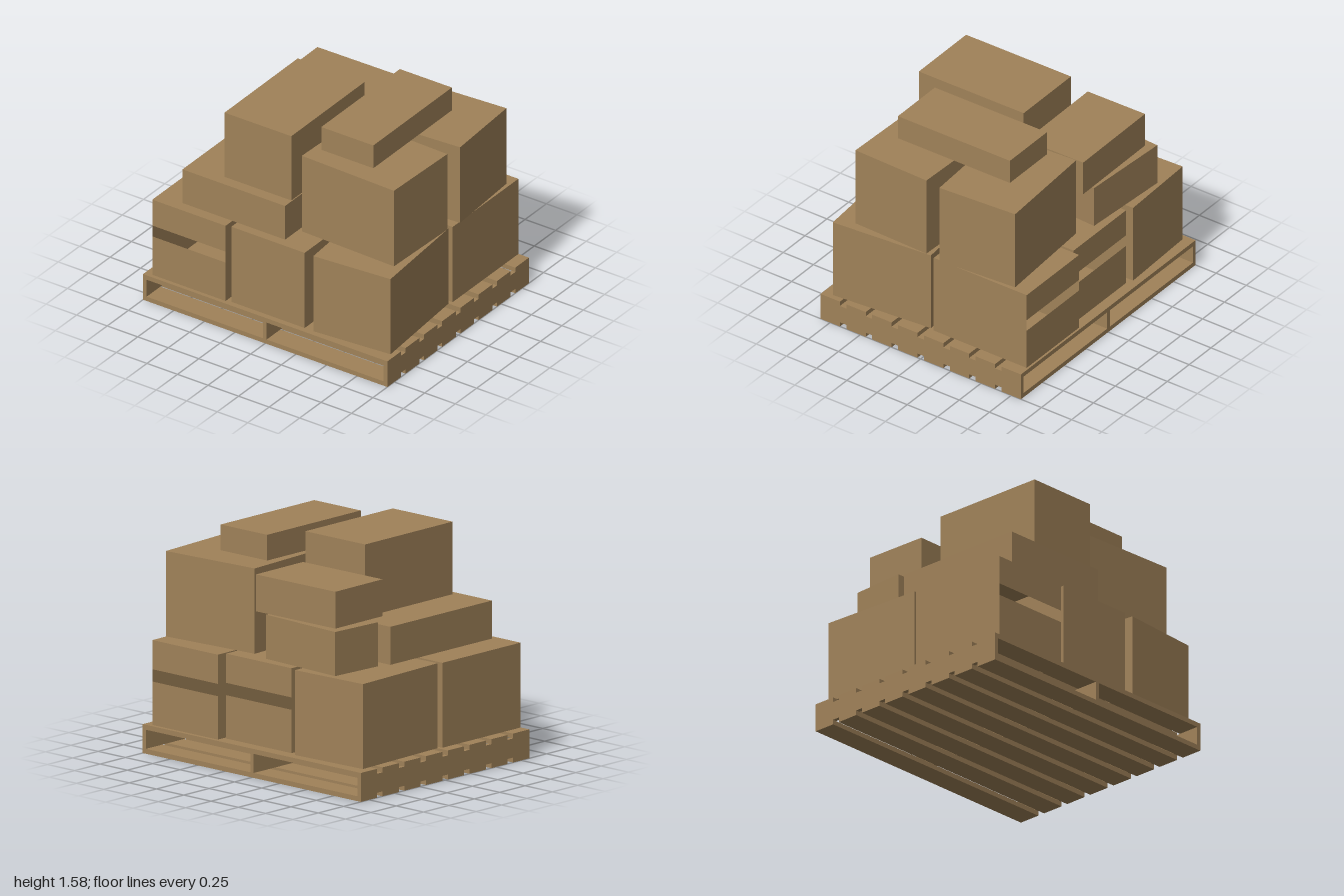
import * as THREE from 'three';

const cardboard = new THREE.MeshStandardMaterial({ color: 0xa08259, side: THREE.DoubleSide });
cardboard.name = 'cardboard brown';

// Closed carton: centre x/z, bottom y, size, turn about y
function carton(name, [x, y, z], [w, h, d], turn = 0) {
  const mesh = new THREE.Mesh(new THREE.BoxGeometry(w, h, d), cardboard);
  mesh.name = name;
  mesh.position.set(x, y + h / 2, z);
  mesh.rotation.y = turn;
  return mesh;
}

// Hollow carton with a full-width slot across its +z end
function slottedCarton(name, [x, y, z], [w, h, d], turn, slotLow, slotHigh) {
  const group = new THREE.Group();
  group.name = name;
  group.position.set(x, y, z);
  group.rotation.y = turn;
  // Five walls: the box without its +z face
  const shell = new THREE.BoxGeometry(w, h, d);
  const index = Array.from(shell.index.array);
  index.splice(24, 6);
  shell.setIndex(index);
  shell.clearGroups();
  const walls = new THREE.Mesh(shell, cardboard);
  walls.name = 'cartonWalls';
  walls.position.y = h / 2;
  group.add(walls);
  // Panels below and above the slot
  for (const [label, a, b] of [['lowerPanel', 0, slotLow], ['upperPanel', slotHigh, h]]) {
    const panel = new THREE.Mesh(new THREE.PlaneGeometry(w, b - a), cardboard);
    panel.name = label;
    panel.position.set(0, (a + b) / 2, d / 2);
    group.add(panel);
  }
  return group;
}

function pallet() {
  const group = new THREE.Group();
  group.name = 'pallet';
  const add = (name, w, h, d, x, y, z) => group.add(carton(name, [x, y, z], [w, h, d]));
  // Deck boards, top and bottom
  const count = 8, boardDepth = 0.161, pitch = (1.66 - boardDepth) / (count - 1);
  for (let i = 0; i < count; i++) {
    const z = -0.83 + boardDepth / 2 + i * pitch;
    add('bottomBoard', 2, 0.034, boardDepth, 0, 0, z);
    add('topBoard', 2, 0.034, boardDepth, 0, 0.166, z);
  }
  // Stringers between the decks
  for (const x of [-0.985, -0.003, 0.985]) add('stringer', 0.03, 0.132, 1.66, x, 0.034, 0);
  return group;
}

export function createModel() {
  const model = new THREE.Group();
  model.name = 'loadedPallet';
  model.add(pallet());

  // Bottom layer: two rows of three
  const big = [0.6, 0.587, 0.77];
  const slot = [0.3, 0.385];
  model.add(
    slottedCarton('frontRightCarton', [-0.638, 0.206, 0.425], big, 0, ...slot),
    carton('frontMiddleCarton', [0, 0.206, 0.412], big),
    carton('frontLeftCarton', [0.64, 0.206, 0.39], big, 0.08),
    carton('backRightCarton', [-0.637, 0.206, -0.385], big, 0.04),
    slottedCarton('backMiddleCarton', [0, 0.206, -0.375], big, Math.PI, ...slot),
    slottedCarton('backLeftCarton', [0.62, 0.206, -0.435], big, Math.PI, ...slot),
  );

  // Second layer
  const wide = [0.77, 0.59, 0.6];
  model.add(
    carton('upperBackLeftCarton', [0.535, 0.802, -0.385], wide, 0.065),
    carton('upperFrontLeftCarton', [0.525, 0.802, 0.3], wide, -0.03),
    carton('flatFrontCarton', [-0.32, 0.8, 0.24], [0.84, 0.263, 1.0]),
    carton('flatBackCarton', [-0.36, 0.8, -0.523], [0.67, 0.305, 0.4], -0.06),
  );

  // Top layer
  model.add(
    carton('topBackCarton', [-0.265, 1.108, -0.45], [0.72, 0.255, 0.47], 0.012),
    carton('topTallCarton', [-0.175, 1.07, 0.235], [0.545, 0.502, 0.865], 0.005),
    carton('topSlimCarton', [0.412, 1.4, -0.003], [0.425, 0.178, 0.925], 0.003),
  );
  return model;
}
